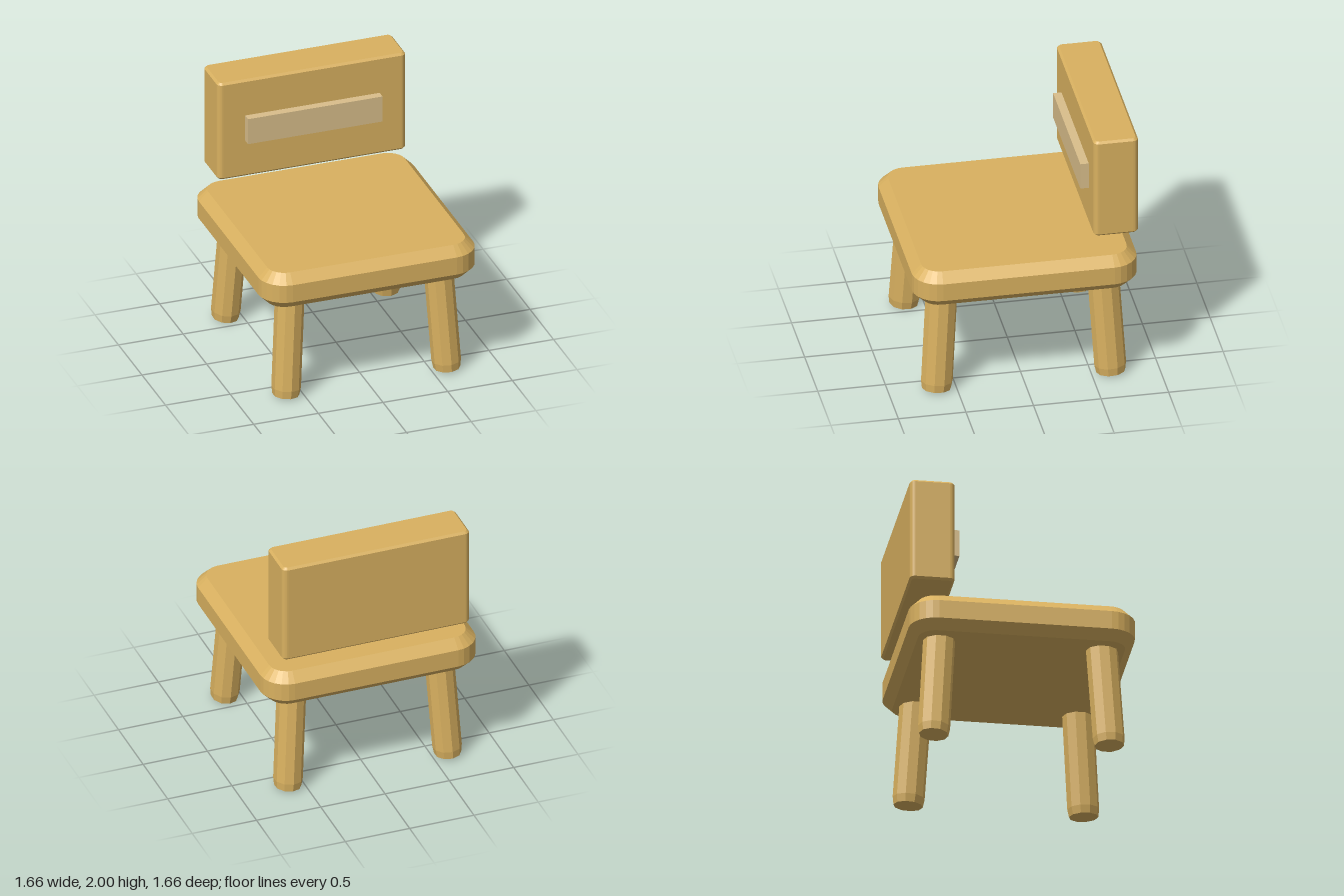
import * as THREE from 'three';

const wood = new THREE.MeshStandardMaterial({ color: 0xd9b160 });
wood.name = 'wood';
wood.flatShading = true;
const paleWood = new THREE.MeshStandardMaterial({ color: 0xd9be8b });
paleWood.name = 'pale wood';

// Horizontal slab with rounded corners and a chamfer on its upper and lower rims
function slab(name, width, depth, y0, y1, radius, chamfer, segments) {
  const w = width / 2 - chamfer, d = depth / 2 - chamfer, r = radius - chamfer;
  const s = new THREE.Shape();
  s.absarc(w - r, d - r, r, 0, Math.PI / 2);
  s.absarc(-w + r, d - r, r, Math.PI / 2, Math.PI);
  s.absarc(-w + r, -d + r, r, Math.PI, Math.PI * 1.5);
  s.absarc(w - r, -d + r, r, Math.PI * 1.5, Math.PI * 2);
  const geo = new THREE.ExtrudeGeometry(s, {
    depth: y1 - y0 - 2 * chamfer, curveSegments: segments,
    bevelEnabled: true, bevelThickness: chamfer, bevelSize: chamfer, bevelSegments: 1,
  });
  geo.rotateX(-Math.PI / 2);
  geo.translate(0, y0 + chamfer, 0);
  const mesh = new THREE.Mesh(geo, wood);
  mesh.name = name;
  return mesh;
}

export function createModel() {
  const chair = new THREE.Group();
  chair.name = 'chair';

  // Seat
  chair.add(slab('seat', 1.66, 1.66, 0.785, 1.065, 0.2, 0.07, 3));

  // Floating backrest with a raised panel on its front
  const back = slab('backrest', 1.455, 0.33, 1.21, 2, 0.04, 0.016, 3);
  back.position.z = -0.667;
  chair.add(back);
  const panel = new THREE.Mesh(new THREE.BoxGeometry(1.04, 0.205, 0.08), paleWood);
  panel.name = 'backrestPanel';
  panel.position.set(0, 1.607, -0.48);
  chair.add(panel);

  // Splayed legs with slightly rounded feet
  const profile = [[0, 0], [0.098, 0], [0.107, 0.06], [0.107, 0.86], [0, 0.86]]
    .map(([x, y]) => new THREE.Vector2(x, y));
  const legGeo = new THREE.LatheGeometry(profile, 10);
  legGeo.scale(1, 1, 1.1);
  const up = new THREE.Vector3(0, 1, 0);
  for (const sx of [-1, 1]) {
    for (const sz of [-1, 1]) {
      const leg = new THREE.Mesh(legGeo, wood);
      leg.name = (sz > 0 ? 'front' : 'back') + (sx > 0 ? 'Left' : 'Right') + 'Leg';
      leg.position.set(sx * 0.622, 0.012, sz * 0.645);
      const axis = new THREE.Vector3(-sx * 0.06, 1, -sz * 0.06).normalize();
      leg.quaternion.setFromUnitVectors(up, axis);
      chair.add(leg);
    }
  }
  return chair;
}
